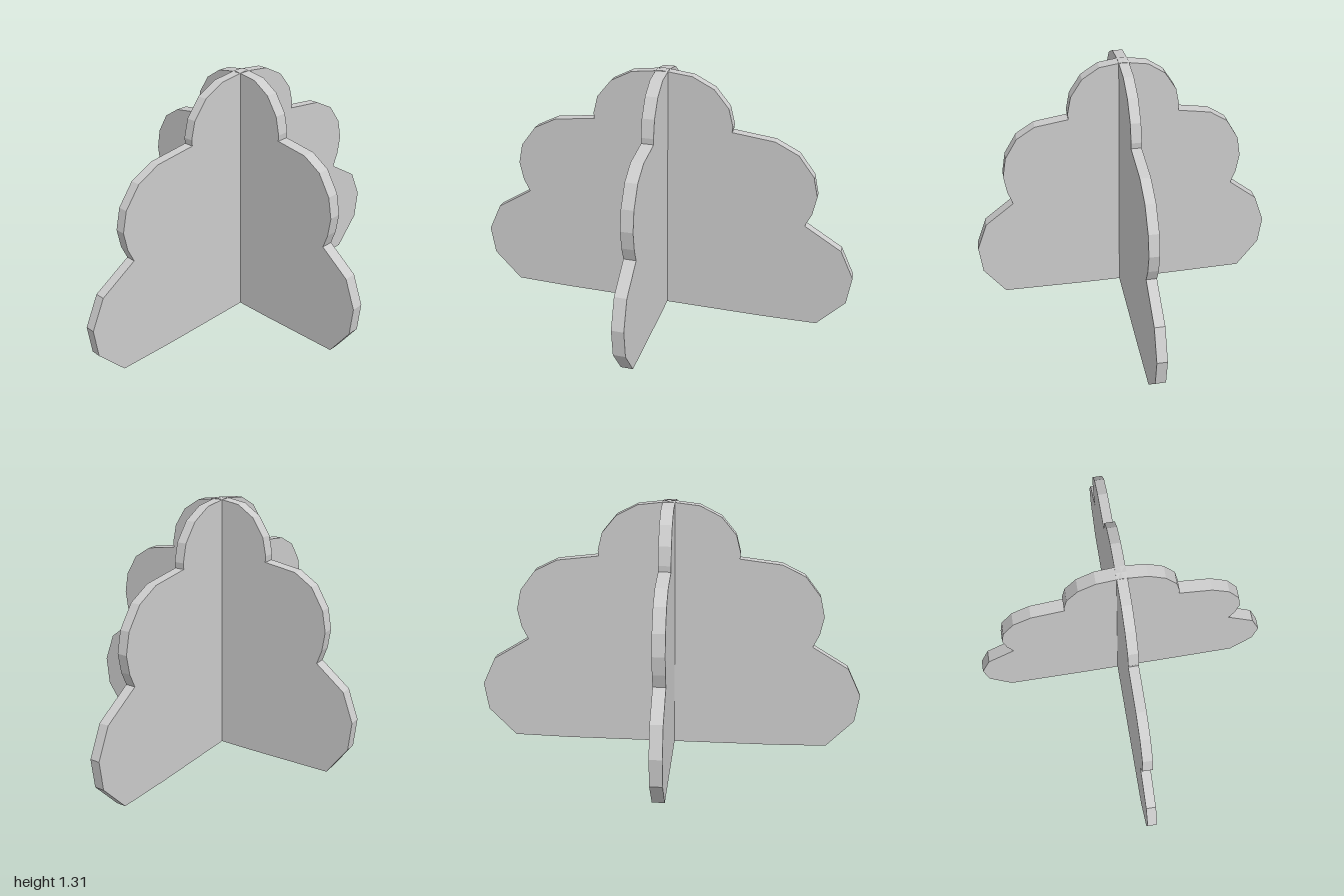
import * as THREE from 'three';

// Right half of the stepped, scalloped outline, from base to crown (width 1 = widest point)
const HALF = [
  [0.84, 0.006], [0.98, 0.157], [1, 0.305], [0.93, 0.453], [0.74, 0.57],
  [0.772, 0.64], [0.79, 0.735], [0.766, 0.84], [0.686, 0.945], [0.568, 1.004],
  [0.355, 1.03], [0.358, 1.06], [0.335, 1.15], [0.261, 1.24], [0.153, 1.295],
];
const CROWN = 1.313;

// Upright flat panel with a mirrored outline, centred on its thickness
function panel(name, halfWidth, thickness, footX) {
  const right = [[footX, 0], ...HALF.map(([x, y]) => [x * halfWidth, y])];
  const left = right.map(([x, y]) => [-x, y]).reverse();
  const outline = [...right, [0, CROWN], ...left].map(([x, y]) => new THREE.Vector2(x, y));
  const geometry = new THREE.ExtrudeGeometry(new THREE.Shape(outline), {
    depth: thickness, bevelEnabled: false,
  });
  geometry.translate(0, 0, -thickness / 2);
  const mesh = new THREE.Mesh(
    geometry,
    new THREE.MeshStandardMaterial({ color: 0xcccccc, flatShading: true }),
  );
  mesh.name = name;
  return mesh;
}

export function createModel() {
  const group = new THREE.Group();
  group.name = 'crossedPanelBush';

  // Narrower panel facing the front
  group.add(panel('crossPanel', 0.775, 0.062, 0.22));

  // Wider panel running front to back
  const longPanel = panel('longPanel', 1, 0.05, 0.55);
  longPanel.rotation.y = Math.PI / 2;
  group.add(longPanel);

  return group;
}
